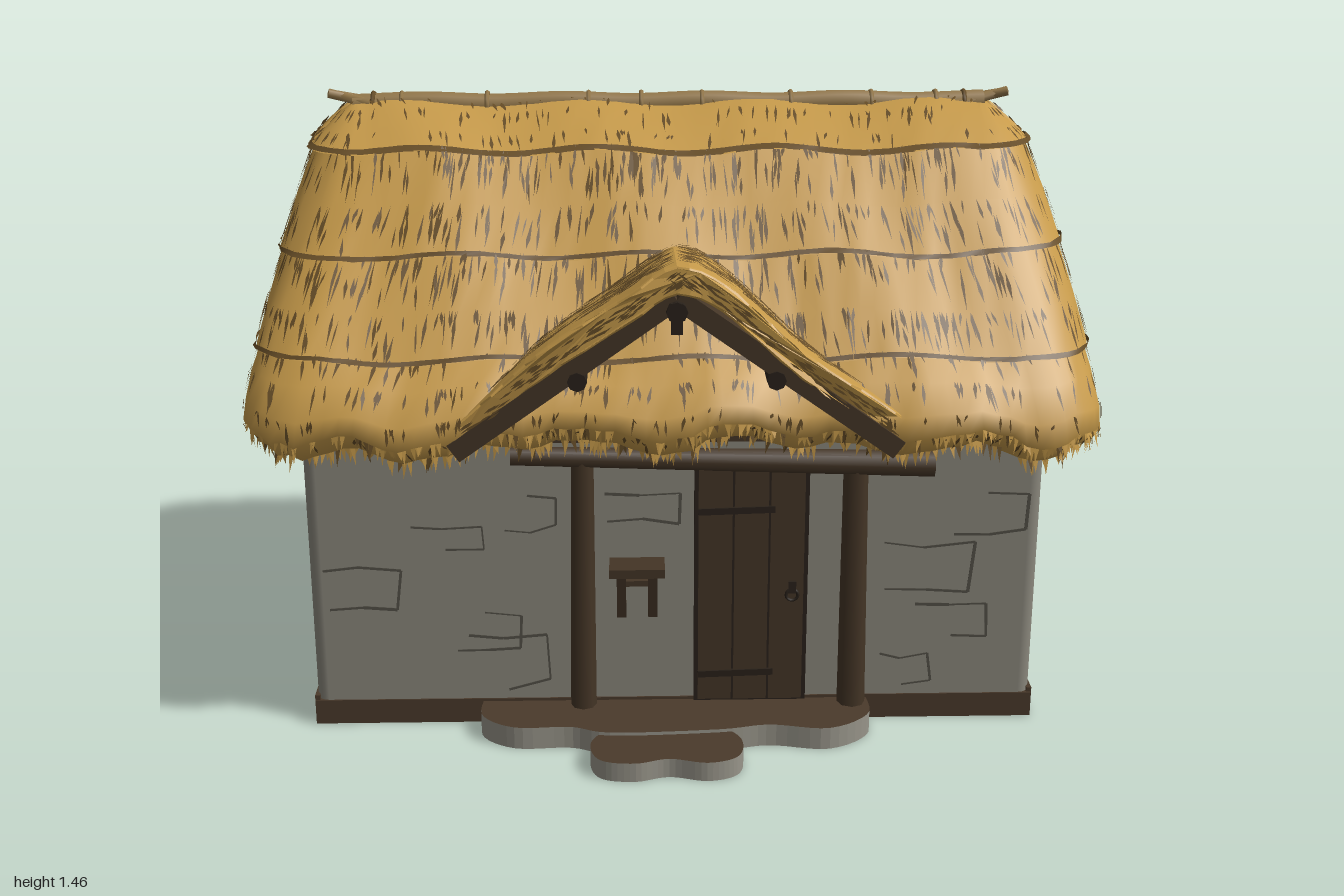
import * as THREE from 'three';
import { RoundedBoxGeometry } from 'three/addons/geometries/RoundedBoxGeometry.js';

const V = (x, y, z) => new THREE.Vector3(x, y, z);
const CZ = -0.07; // centre line of walls and roof

export function createModel() {
  const model = new THREE.Group();
  const mat = (name, color, side = THREE.FrontSide) => {
    const m = new THREE.MeshStandardMaterial({ color, side });
    m.name = name;
    return m;
  };
  const thatch = mat('thatch', 0xc69a4a, THREE.DoubleSide);
  const straw = mat('dark straw', 0x664d27, THREE.DoubleSide);
  const stone = mat('wall stone', 0x8a877c);
  const slab = mat('step stone', 0x98958a);
  const crackMat = mat('crack', 0x524f46);
  const earth = mat('earth', 0x4a3a2b);
  const wood = mat('dark wood', 0x443526);
  const iron = mat('iron', 0x29211a);
  const poleMat = mat('ridge wood', 0x94784a);

  let seed = 7;
  const rnd = () => (seed = (seed * 16807) % 2147483647) / 2147483647;
  const hash = (a, b) => { const s = Math.sin(a * 12.99 + b * 78.23) * 43758.5; return s - Math.floor(s) - 0.5; };

  const add = (name, geo, m, p = [0, 0, 0], r = [0, 0, 0], parent = model) => {
    const mesh = new THREE.Mesh(geo, m);
    mesh.name = name;
    mesh.position.set(...p);
    mesh.rotation.set(...r);
    parent.add(mesh);
    return mesh;
  };
  const box = (name, size, m, p, r, parent) => add(name, new THREE.BoxGeometry(...size), m, p, r, parent);
  const log = (name, a, b, r0, r1, m, sides = 8) => {
    const d = b.clone().sub(a);
    const mesh = add(name, new THREE.CylinderGeometry(r1, r0, d.length(), sides), m, a.clone().add(b).multiplyScalar(0.5).toArray());
    mesh.quaternion.setFromUnitVectors(V(0, 1, 0), d.normalize());
  };
  const triangles = (name, pos, m) => {
    const g = new THREE.BufferGeometry();
    g.setAttribute('position', new THREE.Float32BufferAttribute(pos, 3));
    g.computeVertexNormals();
    add(name, g, m);
  };

  // Walls and footing
  add('walls', new RoundedBoxGeometry(1.73, 0.77, 1.07, 3, 0.03), stone, [0, 0.395, CZ]);
  box('footing', [1.736, 0.062, 1.076], earth, [0, 0.031, CZ]);
  for (const s of [-1, 1]) box('sideFooting', [0.012, 0.074, 1.07], earth, [s * 0.863, 0.037, CZ]);
  for (const z of [0.44, -0.58]) box('eaveBeam', [1.76, 0.05, 0.07], wood, [0, 0.745, z]);

  // Partial stone outlines on each wall: [u, v, width, height]
  const faces = [
    [[0, 0, 0.464], 0, [[-0.5, 0.1, 0.2, 0.13], [-0.52, 0.19, 0.15, 0.09], [-0.82, 0.3, 0.16, 0.1], [-0.63, 0.44, 0.18, 0.07],
      [-0.4, 0.5, 0.12, 0.08], [0.5, 0.34, 0.2, 0.12], [0.58, 0.22, 0.17, 0.08], [0.66, 0.48, 0.17, 0.1], [-0.16, 0.52, 0.17, 0.07], [0.48, 0.1, 0.14, 0.07]]],
    [[0.864, 0, 0], Math.PI / 2, [[0.26, 0.5, 0.2, 0.18], [0.1, 0.38, 0.28, 0.1], [-0.18, 0.2, 0.26, 0.09], [-0.44, 0.29, 0.16, 0.1], [-0.3, 0.1, 0.14, 0.06]]],
    [[0, 0, -0.604], Math.PI, [[-0.7, 0.45, 0.2, 0.12], [-0.55, 0.22, 0.18, 0.1], [-0.1, 0.5, 0.2, 0.09], [0.1, 0.2, 0.22, 0.1],
      [0.45, 0.36, 0.16, 0.1], [0.56, 0.12, 0.22, 0.12], [0.62, 0.5, 0.15, 0.1]]],
    [[-0.864, 0, 0], -Math.PI / 2, [[-0.5, 0.42, 0.18, 0.12], [-0.3, 0.2, 0.22, 0.1], [0.05, 0.46, 0.2, 0.1], [0.2, 0.16, 0.18, 0.12]]],
  ];
  for (const [p, ry, stones] of faces) {
    const wall = new THREE.Group();
    wall.name = 'wallCracks';
    wall.position.set(...p);
    wall.rotation.y = ry;
    model.add(wall);
    stones.forEach(([u, v, w, h], k) => {
      const j = () => (rnd() - 0.5) * 0.03;
      const pts = [[u, v], [u + w * 0.5, v + j()], [u + w, v + j()], [u + w + j(), v + h], [u + w * 0.45, v + h + j()], [u + j(), v + h]];
      pts.slice(k % 3 === 0 ? 1 : 0, k % 3 === 1 ? 5 : 6).forEach((a, i, arr) => {
        const b = arr[i + 1];
        if (!b) return;
        const dx = b[0] - a[0], dy = b[1] - a[1];
        box('crack', [Math.hypot(dx, dy), 0.003 + rnd() * 0.005, 0.006], crackMat, [(a[0] + b[0]) / 2, (a[1] + b[1]) / 2, 0], [0, 0, Math.atan2(dy, dx)], wall);
      });
    });
  }

  // Roof outline: points of a rounded rectangle, anticlockwise from above
  const outline = [];
  const edge = (x0, z0, x1, z1, nx, nz, n) => {
    for (let i = 0; i < n; i++) outline.push([x0 + (x1 - x0) * i / n, z0 + (z1 - z0) * i / n, nx, nz]);
  };
  const corner = (sx, sz, a0) => {
    for (let i = 0; i < 8; i++) { const a = a0 + Math.PI / 2 * i / 8; outline.push([sx, sz, Math.sin(a), Math.cos(a)]); }
  };
  edge(-1, 1, 1, 1, 0, 1, 48); corner(1, 1, 0);
  edge(1, 1, 1, -1, 1, 0, 28); corner(1, -1, Math.PI / 2);
  edge(1, -1, -1, -1, 0, -1, 48); corner(-1, -1, Math.PI);
  edge(-1, -1, -1, 1, -1, 0, 28); corner(-1, 1, -Math.PI / 2);
  const N = outline.length;

  // One roof point from an outline index and a row [height, half width, half depth]
  const roofPoint = (i, [y, hx, hz]) => {
    i = ((i % N) + N) % N;
    const [sx, sz, nx, nz] = outline[i];
    const r = Math.min(0.17, hz * 0.65);
    const hem = THREE.MathUtils.clamp((0.92 - y) / 0.14, 0, 1);
    const grow = 0.007 * hash(i, y * 10) + (0.005 + 0.011 * hem) * Math.cos(sx * 9) * Math.abs(nz);
    const lift = 0.055 * (1 - sz * sz) * Math.abs(nx) + 0.03 * (1 - sx * sx) * Math.abs(nz) - 0.008
      + 0.012 * Math.sin(i * 0.75) + 0.014 * hash(i, 3);
    return V(sx * (hx - r) + nx * (r + grow), y + hem * lift + 0.008 * Math.sin(sx * 11 + sz * 6 + y * 8),
      CZ + sz * (hz - r) + nz * (r + grow));
  };
  const loft = (name, rows, m) => {
    const pos = [], index = [];
    rows.forEach((row, j) => {
      for (let i = 0; i < N; i++) {
        pos.push(...roofPoint(i, row).toArray());
        const a = j * N + i, b = j * N + (i + 1) % N;
        if (j < rows.length - 1) index.push(a, b, b + N, a, b + N, a + N);
      }
    });
    const g = new THREE.BufferGeometry();
    g.setAttribute('position', new THREE.Float32BufferAttribute(pos, 3));
    g.setIndex(index);
    g.computeVertexNormals();
    add(name, g, m);
  };

  // Thin leaf-shaped straw mark lying on a surface, from p to q, with e pointing to its right
  const marks = [];
  const mark = (p, q, e, w) => {
    const n = e.clone().cross(q.clone().sub(p)).normalize().multiplyScalar(0.006);
    const a = p.clone().add(n), c = q.clone().add(n), s = e.clone().setLength(w);
    const m = a.clone().lerp(c, 0.3 + rnd() * 0.4);
    const b = m.clone().add(s), d = m.clone().sub(s);
    for (const t of [a, b, c, a, c, d]) marks.push(...t.toArray());
  };

  // Thatch in overlapping courses, with a dark seam along each lower edge
  const courses = [
    [[0.765, 0.83, 0.5], [0.735, 0.95, 0.61], [0.73, 0.985, 0.645], [0.77, 0.995, 0.677], [0.82, 0.988, 0.672], [0.88, 0.976, 0.62], [0.935, 0.963, 0.565]],
    [[0.925, 0.972, 0.58], [1.02, 0.953, 0.502], [1.135, 0.925, 0.4]],
    [[1.125, 0.934, 0.412], [1.23, 0.905, 0.32], [1.345, 0.865, 0.21]],
    [[1.335, 0.88, 0.228], [1.37, 0.845, 0.16], [1.41, 0.8, 0.075], [1.425, 0.78, 0.015]],
  ];
  courses.forEach((rows, c) => {
    loft('thatchCourse', rows, thatch);
    if (c) {
      const [y, hx, hz] = rows[0], out = ([a, b, d]) => [a + 0.003, b + 0.004, d + 0.004];
      loft('courseLip', [courses[c - 1].at(-1), rows[0]], straw);
      loft('courseSeam', [out(rows[0]), out(rows[1].map((v, k) => THREE.MathUtils.lerp([y, hx, hz][k], v, 0.009 / (rows[1][0] - y))))], straw);
    }
    for (let k = c ? 0 : 2; k < rows.length - 1; k++) {
      const len = Math.hypot(rows[k + 1][0] - rows[k][0], rows[k + 1][2] - rows[k][2]);
      for (let f = 0; f < len * (c === 3 ? 2400 : 4400); f++) {
        const i = Math.floor(rnd() * N), t = rnd(), v = rnd() * 0.75;
        const right = roofPoint(i + 1, rows[k]).sub(roofPoint(i, rows[k]));
        if (right.length() < rnd() * 0.042) continue;
        const at = (u, w) => roofPoint(i, rows[k]).lerp(roofPoint(i + 1, rows[k]), u)
          .lerp(roofPoint(i, rows[k + 1]).lerp(roofPoint(i + 1, rows[k + 1]), u), w);
        const q = at(t + (rnd() - 0.5) * 0.6, Math.min(1, v + (0.05 + rnd() * 0.07) / len));
        mark(at(t, v), q, right, 0.002 + rnd() * 0.003);
      }
    }
  });

  // Ragged straw fringe along the eaves
  const tufts = { light: [], dark: [] };
  for (let f = 0; f < 1300; f++) {
    const i = Math.floor(rnd() * N), row = courses[0][rnd() < 0.5 ? 2 : 3];
    const a = roofPoint(i, row), b = roofPoint(i + 1, row), t = rnd();
    const s = a.clone().lerp(b, t), e = b.sub(a).setLength(0.006);
    const tip = s.clone().add(V((rnd() - 0.5) * 0.015, -0.015 - rnd() * 0.025, (rnd() - 0.5) * 0.015));
    (f % 5 ? tufts.light : tufts.dark).push(...s.clone().sub(e).toArray(), ...tip.toArray(), ...s.add(e).toArray());
  }
  triangles('eaveFringe', tufts.light, thatch);
  triangles('eaveFringeShadow', tufts.dark, straw);

  // Gabled porch hood, sinking towards the back, its ragged front leaning forward at the top
  const hoodY = x => 1.172 - 0.8 * (Math.hypot(x, 0.05) - 0.05) + 0.01 * Math.sin(x * 16);
  const sink = z => (0.62 - z) * 0.1;
  const lean = y => -0.14 * Math.max(0, 1 - y);
  const hood = new THREE.Shape();
  const xs = Array.from({ length: 41 }, (_, i) => -0.51 + 1.02 * i / 40);
  hood.setFromPoints([...xs.map(x => new THREE.Vector2(x, hoodY(x) - 0.055)), ...xs.reverse().map(x => new THREE.Vector2(x, hoodY(x)))]);
  const hoodGeo = new THREE.ExtrudeGeometry(hood, { depth: 0.51, steps: 6, bevelEnabled: true, bevelSize: 0.006, bevelThickness: 0.012, bevelSegments: 2 });
  hoodGeo.translate(0, 0, 0.115);
  const hp = hoodGeo.attributes.position;
  for (let i = 0; i < hp.count; i++) {
    const x = hp.getX(i), y = hp.getY(i), z = hp.getZ(i);
    hp.setY(i, y - sink(z));
    if (z > 0.55) hp.setZ(i, z + lean(y) + 0.016 * hash(Math.round(x * 80), 5));
  }
  hoodGeo.computeVertexNormals();
  add('porchThatch', hoodGeo, thatch);
  for (let f = 0; f < 800; f++) {
    const side = f % 2 ? 1 : -1, x = side * (0.04 + rnd() * 0.46), z = 0.3 + rnd() * 0.29 + lean(hoodY(x));
    const x2 = x - side * Math.min(Math.abs(x), 0.03 + rnd() * 0.05), z2 = z - 0.02 + rnd() * 0.03;
    mark(V(x, hoodY(x) + 0.006 - sink(z), z), V(x2, hoodY(x2) + 0.006 - sink(z2), z2), V(0, 0, -side), 0.002 + rnd() * 0.003);
  }
  for (let f = 0; f < 170; f++) {
    const x = (rnd() - 0.5) * 1.0, y = hoodY(x) - rnd() * 0.035, s = Math.sign(x), z = 0.638 + lean(y);
    mark(V(x, y - 0.01, z), V(x - s * 0.03, y + 0.012, z), V(1, s * 0.4, 0), 0.003);
  }
  triangles('strawMarks', marks, straw);
  for (const s of [-1, 1]) {
    box('bargeBoard', [0.61, 0.046, 0.045], wood, [s * 0.25, 0.925, 0.598], [0, 0, -s * 0.62]);
    log('purlin', V(s * 0.22, 0.915, 0.35), V(s * 0.22, 0.915, 0.625), 0.022, 0.022, iron);
  }
  log('ridgePurlin', V(0, 1.075, 0.3), V(0, 1.075, 0.635), 0.024, 0.024, iron);
  box('kingPeg', [0.026, 0.07, 0.03], iron, [0, 1.06, 0.618]);

  // Ridge pole with ties and forked ends
  const ridge = new THREE.CatmullRomCurve3(Array.from({ length: 10 }, (_, i) => V(-0.78 + 1.56 * i / 9, 1.413 + 0.006 * (i % 2), CZ)));
  add('ridgePole', new THREE.TubeGeometry(ridge, 40, 0.029, 8), poleMat);
  for (const x of [-0.73, -0.66, -0.45, -0.2, -0.07, 0.08, 0.3, 0.5, 0.66, 0.73])
    add('ridgeTie', new THREE.TorusGeometry(0.029, 0.006, 6, 12), Math.abs(x) > 0.7 ? straw : poleMat, [x, 1.416, CZ], [0, Math.PI / 2, 0]);
  for (const s of [-1, 1]) for (const d of [-1, 1])
    log('ridgeEnd', V(s * 0.68, 1.405, CZ + d * 0.03), V(s * 0.84, 1.445, CZ - d * 0.008), 0.017, 0.011, poleMat, 6);

  // Porch posts and lintel
  log('porchPost', V(-0.22, 0.04, 0.485), V(-0.215, 0.68, 0.485), 0.031, 0.026, wood);
  log('porchPost', V(0.425, 0.04, 0.485), V(0.42, 0.66, 0.485), 0.034, 0.029, wood);
  log('lintel', V(-0.38, 0.695, 0.49), V(0.6, 0.668, 0.49), 0.023, 0.033, wood);

  // Plank door
  for (let i = 0; i < 3; i++) box('doorPlank', [0.08, 0.59, 0.02], wood, [0.095 + i * 0.085, 0.355, 0.468]);
  box('doorGap', [0.27, 0.6, 0.012], iron, [0.18, 0.355, 0.468]);
  for (const y of [0.13, 0.55]) box('doorHinge', [0.18, 0.016, 0.012], iron, [0.145, y, 0.476], [0, 0, 0.03]);
  add('doorRing', new THREE.TorusGeometry(0.014, 0.004, 6, 14), iron, [0.278, 0.335, 0.482]);
  box('doorLatch', [0.018, 0.03, 0.014], iron, [0.278, 0.355, 0.48]);

  // Wall shelf
  box('shelf', [0.13, 0.022, 0.075], wood, [-0.09, 0.418, 0.505]);
  for (const s of [-1, 1]) box('shelfBracket', [0.022, 0.13, 0.025], wood, [-0.09 + s * 0.037, 0.35, 0.49], [0.2, 0, 0]);
  box('shelfRail', [0.07, 0.014, 0.02], wood, [-0.09, 0.375, 0.49]);

  // Worn doorsteps: earthy top, stone rim
  const step = (pts, h) => {
    const curve = new THREE.SplineCurve(pts.map(p => new THREE.Vector2(p[0], -p[1])));
    const shape = new THREE.Shape(curve.getPoints(50));
    add('doorStep', new THREE.ExtrudeGeometry(shape, { depth: h, bevelEnabled: false }), [earth, slab], [0, 0, 0], [-Math.PI / 2, 0, 0]);
  };
  step([[-0.46, 0.44], [-0.46, 0.54], [-0.38, 0.6], [-0.25, 0.6], [-0.15, 0.63], [0.1, 0.62], [0.22, 0.6], [0.36, 0.62], [0.46, 0.55], [0.46, 0.44]], 0.055);
  step([[-0.15, 0.58], [-0.2, 0.66], [-0.18, 0.74], [-0.1, 0.76], [-0.02, 0.74], [0.07, 0.76], [0.14, 0.73], [0.15, 0.65], [0.1, 0.58]], 0.047);

  return model;
}
